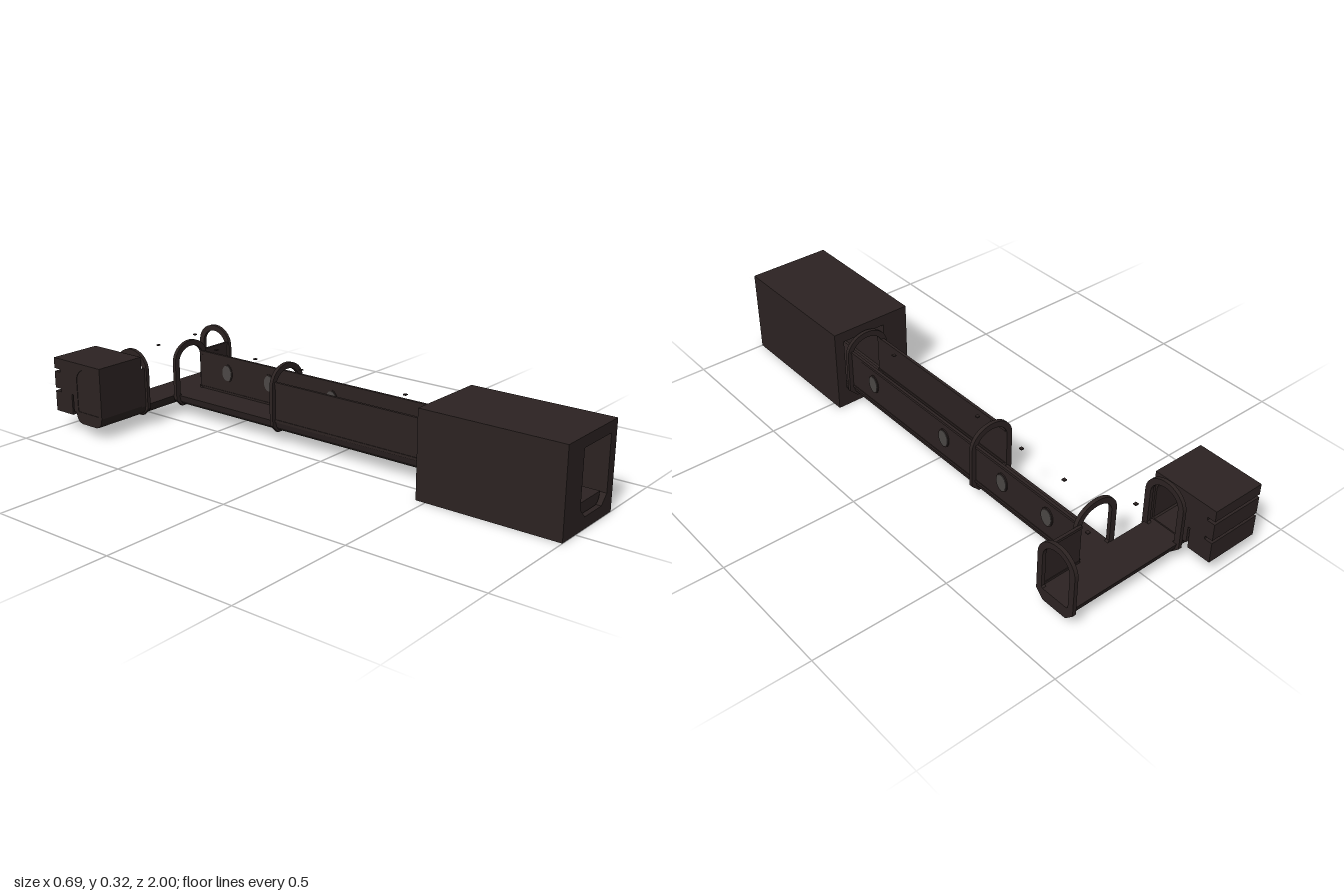
import * as THREE from 'three';

const hull = new THREE.MeshStandardMaterial({ color: 0x2c2322 });
hull.name = 'darkHull';
const glass = new THREE.MeshStandardMaterial({ color: 0x4c4846 });
glass.name = 'greyGlass';

function polygon(points, Type = THREE.Shape) {
  return new Type(points.map(([x, y]) => new THREE.Vector2(x, y)));
}

// Extrudes a cross-section along local z from a to b
function extrude(parent, name, shape, a, b) {
  const geometry = new THREE.ExtrudeGeometry(shape, { depth: b - a, bevelEnabled: false, curveSegments: 10 });
  const mesh = new THREE.Mesh(geometry, hull);
  mesh.name = name;
  mesh.position.z = a;
  parent.add(mesh);
  return mesh;
}

function box(parent, name, w, h, d, x, y, z, material = hull) {
  const mesh = new THREE.Mesh(new THREE.BoxGeometry(w, h, d), material);
  mesh.name = name;
  mesh.position.set(x, y, z);
  parent.add(mesh);
}

// Arched outline with chamfered lower corners
function archPath(Type, half, bottom, chamfer, spring, rise) {
  const p = new Type();
  p.moveTo(-half + chamfer, bottom);
  p.lineTo(half - chamfer, bottom);
  p.lineTo(half, bottom + chamfer);
  p.lineTo(half, spring);
  p.absellipse(0, spring, half, rise, 0, Math.PI, false, 0);
  p.lineTo(-half, bottom + chamfer);
  p.closePath();
  return p;
}

function frame(parent, name, half, z) {
  const shape = archPath(THREE.Shape, half, 0.04, 0.03, 0.218, 0.074);
  shape.holes.push(archPath(THREE.Path, half - 0.022, 0.085, 0.006, 0.218, 0.052));
  extrude(parent, name, shape, z - 0.007, z + 0.007);
}

// Floor channel with a rounded underside
function floor(parent, name, a, b) {
  const side = [[0.04, 0.045], [0.054, 0.05], [0.064, 0.062], [0.07, 0.085]];
  const mirrored = side.map(([x, y]) => [-x, y]).reverse();
  extrude(parent, name, polygon([...mirrored, ...side]), a, b);
}

// Thin side wall with rails along its top and foot
function wall(parent, name, u, a, b) {
  const length = b - a, mid = (a + b) / 2;
  box(parent, name, 0.006, 0.15, length, u, 0.16, mid);
  for (const y of [0.088, 0.23]) box(parent, name + 'Rail', 0.011, 0.01, length, u, y, mid);
}

function ceilingLights(parent, places) {
  for (const z of places) box(parent, 'ceilingLight', 0.012, 0.004, 0.012, 0, 0.277, z);
}

export function createModel() {
  const model = new THREE.Group();
  model.name = 'corridor';

  // Main corridor along z
  const main = new THREE.Group();
  main.name = 'mainCorridor';
  main.position.x = 0.11;
  model.add(main);
  floor(main, 'mainFloor', -0.752, 0.985);
  wall(main, 'leftWall', 0.067, -0.745, 0.47);
  wall(main, 'rightWall', -0.067, -0.25, 0.47);
  for (const z of [-0.742, -0.25, 0.45]) frame(main, 'mainArch', 0.086, z);
  ceilingLights(main, [0.28, -0.18, -0.4, -0.6]);

  // Oval portholes on the left wall
  for (const z of [0.31, -0.09, -0.39, -0.605]) {
    for (const [name, r, t, material] of [['portholeRim', 1, 0.012, hull], ['portholeGlass', 0.86, 0.016, glass]]) {
      const mesh = new THREE.Mesh(new THREE.CylinderGeometry(r, r, t, 16), material);
      mesh.name = name;
      mesh.rotation.z = Math.PI / 2;
      mesh.scale.set(0.036, 1, 0.027);
      mesh.position.set(0.068, 0.168, z);
      main.add(mesh);
    }
  }

  // Large block with the passage running through it
  const block = polygon([[-0.19, 0], [0.125, 0], [0.125, 0.317], [-0.19, 0.317]]);
  block.holes.push(polygon([[-0.055, 0.042], [0.055, 0.042], [0.087, 0.075], [0.087, 0.277],
    [-0.087, 0.277], [-0.087, 0.075]], THREE.Path));
  extrude(main, 'largeBlock', block, 0.463, 1);

  // Cross corridor along x: local z becomes x, local x becomes -z
  const cross = new THREE.Group();
  cross.name = 'crossCorridor';
  cross.position.z = -0.82;
  cross.rotation.y = Math.PI / 2;
  model.add(cross);
  floor(cross, 'crossFloor', -0.345, 0.335);
  wall(cross, 'crossWall', -0.067, 0.18, 0.335);
  box(cross, 'crossWallStub', 0.006, 0.15, 0.03, -0.067, 0.155, -0.13);
  for (const x of [-0.117, 0.336]) frame(cross, 'crossArch', 0.08, x);
  ceilingLights(cross, [0.02, 0.22]);

  // Small end block with grooves in its back and a recess for the passage
  const end = polygon([[-0.07, 0.085], [0.082, 0.085], [0.082, 0.15], [0.09, 0.15], [0.09, 0.07], [0.18, 0.07],
    [0.18, 0.148], [0.15, 0.148], [0.15, 0.16], [0.18, 0.16], [0.18, 0.224], [0.15, 0.224],
    [0.15, 0.236], [0.18, 0.236], [0.18, 0.277], [-0.07, 0.277]]);
  end.holes.push(archPath(THREE.Path, 0.058, 0.09, 0.005, 0.21, 0.05));
  extrude(cross, 'endBlock', end, -0.345, -0.14);
  box(cross, 'endBlockBackPlate', 0.12, 0.175, 0.008, 0, 0.175, -0.339);

  return model;
}
